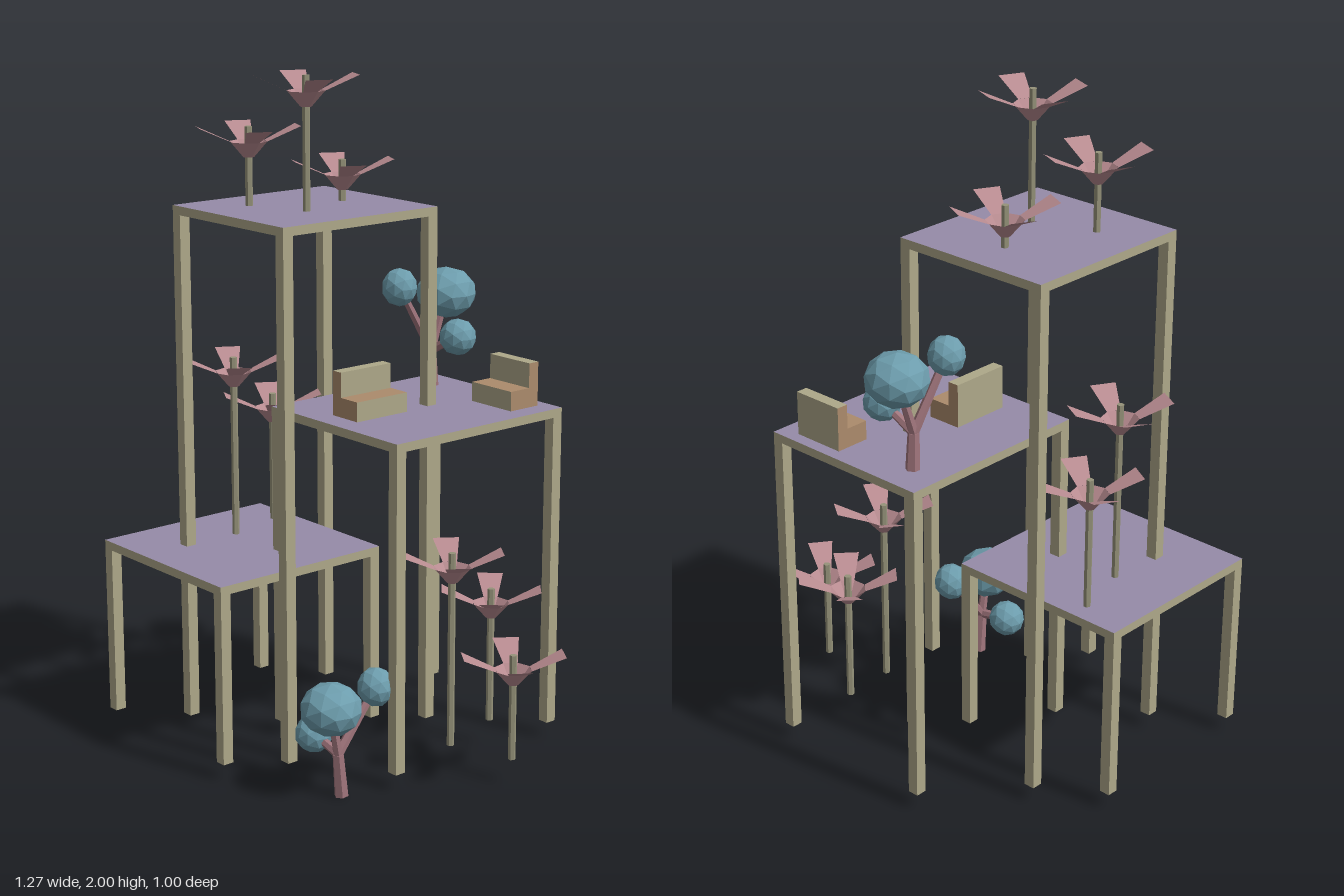
import * as THREE from 'three';

const paint = (color, extra = {}) => {
  const m = new THREE.MeshStandardMaterial({ color, flatShading: true, ...extra });
  return m;
};
const khaki = paint(0xaea889), purple = paint(0x968ba8), tan = paint(0xac8b6c);
const bark = paint(0xa0757c), leaf = paint(0x6d9dad), stemPaint = paint(0x96937a);
const pink = paint(0xb98c91, { side: THREE.DoubleSide });

function mesh(name, geometry, material, x = 0, y = 0, z = 0) {
  const m = new THREE.Mesh(geometry, material);
  m.name = name;
  m.position.set(x, y, z);
  return m;
}

function group(name, x = 0, y = 0, z = 0) {
  const g = new THREE.Group();
  g.name = name;
  g.position.set(x, y, z);
  return g;
}

// Table-like deck: purple top on a thin board with four square legs
function platform(name, x0, x1, z0, z1, top) {
  const g = group(name), leg = 0.034, board = 0.026, foot = 0.048;
  const cx = (x0 + x1) / 2, cz = (z0 + z1) / 2, w = x1 - x0, d = z1 - z0;
  const sides = [khaki, khaki, purple, khaki, khaki, khaki];
  g.add(mesh('deck', new THREE.BoxGeometry(w, board, d), sides, cx, top - board / 2, cz));
  const h = top - board - foot;
  for (const sx of [-1, 1]) for (const sz of [-1, 1]) {
    g.add(mesh('leg', new THREE.BoxGeometry(leg, h, leg), khaki,
      cx + sx * (w - leg) / 2, foot + h / 2, cz + sz * (d - leg) / 2));
  }
  return g;
}

// Petal flaring outwards from the rim of the cup, pointing along +x
function petalGeometry() {
  const g = new THREE.PlaneGeometry(1, 1);
  g.rotateX(-Math.PI / 2);
  const p = g.attributes.position;
  for (let i = 0; i < p.count; i++) {
    const t = p.getX(i) + 0.5;
    p.setXYZ(i, 0.051 + t * 0.095, -0.048 + t * 0.043, p.getZ(i) * (0.042 + t * 0.036));
  }
  g.computeVertexNormals();
  return g;
}

// Tall flower: stem, eight-sided cup and four petals
function flower(x, z, base, top, degrees) {
  const g = group('flower', x, top, z);
  g.rotation.y = -THREE.MathUtils.degToRad(degrees);
  const h = top - base - 0.005;
  g.add(mesh('stem', new THREE.CylinderGeometry(0.011, 0.011, h, 6), stemPaint, 0, -0.005 - h / 2, 0));
  const cup = new THREE.CylinderGeometry(0.055, 0.016, 0.045, 8, 1, true);
  cup.rotateY(Math.PI / 8);
  g.add(mesh('cup', cup, pink, 0, -0.0705, 0));
  const petal = petalGeometry();
  for (let i = 0; i < 4; i++) {
    const m = mesh('petal', petal, pink);
    m.rotation.y = i * Math.PI / 2;
    g.add(m);
  }
  return g;
}

// Tapered limb between two points
function limb(name, a, b, r0, r1) {
  const from = new THREE.Vector3(...a), dir = new THREE.Vector3(...b).sub(from);
  const m = mesh(name, new THREE.CylinderGeometry(r1, r0, dir.length(), 6), bark);
  m.position.copy(from).addScaledVector(dir, 0.5);
  m.quaternion.setFromUnitVectors(new THREE.Vector3(0, 1, 0), dir.normalize());
  return m;
}

// Tree: trunk forking into branches, each ending in a faceted crown [x, y, z, radius, squash]
function tree(x, y, z, fork, crowns) {
  const g = group('tree', x, y, z);
  g.add(limb('trunk', [0, 0, 0], fork, 0.021, 0.017));
  for (const [cx, cy, cz, r, squash] of crowns) {
    g.add(limb('branch', fork, [cx, cy, cz], 0.015, 0.011));
    const crown = mesh('crown', new THREE.IcosahedronGeometry(r, 1), leaf, cx, cy, cz);
    crown.scale.y = squash;
    g.add(crown);
  }
  return g;
}

// Bench facing +z with tan ends and seat top
function bench(x, z, length, turn) {
  const g = group('bench', x, 1.026, z);
  const seatSides = [tan, tan, tan, khaki, khaki, khaki];
  const backSides = [tan, tan, khaki, khaki, khaki, khaki];
  g.add(mesh('benchSeat', new THREE.BoxGeometry(length, 0.058, 0.072), seatSides, 0, 0.029, 0.018));
  g.add(mesh('benchBack', new THREE.BoxGeometry(length, 0.132, 0.036), backSides, 0, 0.066, -0.036));
  g.rotation.y = turn;
  return g;
}

export function createModel() {
  const model = new THREE.Group();
  model.name = 'terracedGarden';

  model.add(
    platform('lowPlatform', -0.64, -0.058, -0.087, 0.502, 0.588),
    platform('middlePlatform', -0.24, 0.318, -0.466, 0.172, 1.026),
    platform('tallPlatform', -0.459, 0.054, -0.21, 0.354, 1.612),
  );

  // x, z, stem foot, top height, turn in degrees
  const flowers = [
    [-0.122, 0.13, 1.61, 2.0, 24], [-0.307, 0.193, 1.61, 1.845, 25], [-0.205, -0.07, 1.61, 1.738, 27],
    [-0.435, 0.163, 0.548, 1.143, 30], [-0.486, -0.022, 0.58, 0.993, 31],
    [0.283, -0.07, 0.065, 0.66, 35], [0.25, -0.257, 0.085, 0.502, 42], [0.49, -0.119, 0.075, 0.397, 35],
  ];
  for (const f of flowers) model.add(flower(...f));

  model.add(
    tree(0.238, 0, 0.307, [0, 0.13, 0.012], [
      [0, 0.272, 0.037, 0.09, 0.85], [-0.111, 0.157, 0.01, 0.056, 1], [0.006, 0.3, -0.122, 0.054, 1.08],
    ]),
    tree(-0.137, 1.026, -0.365, [0, 0.11, 0.005], [
      [0.01, 0.282, -0.046, 0.092, 0.85], [0.115, 0.168, 0.001, 0.056, 1], [-0.024, 0.312, 0.111, 0.054, 1.08],
    ]),
  );

  model.add(bench(0.173, -0.374, 0.165, 0), bench(0.009, 0.006, 0.188, Math.PI / 2));
  return model;
}
